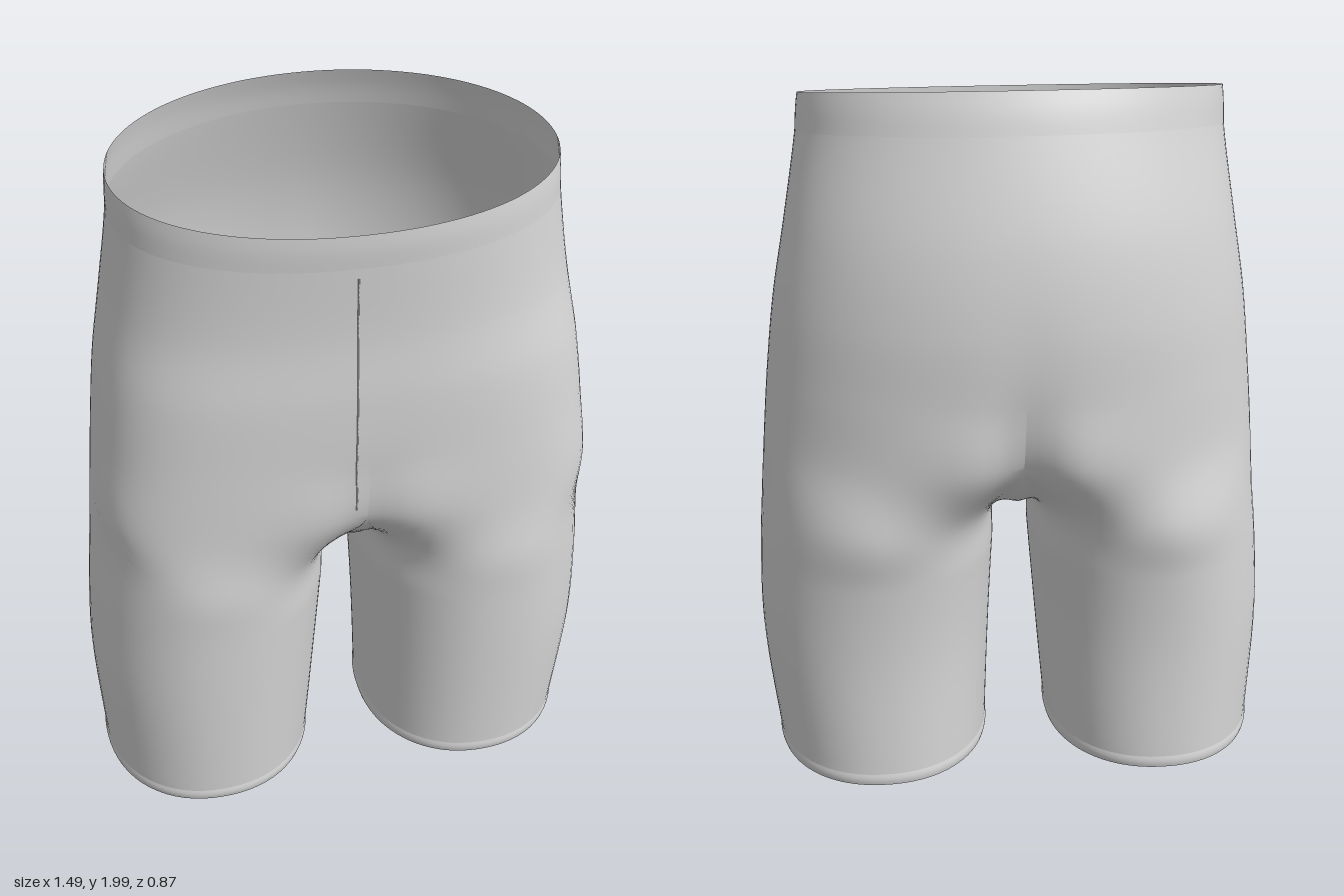
import * as THREE from 'three';
import { mergeVertices } from 'three/addons/utils/BufferGeometryUtils.js';

const OUTER = 56, INNER = 24;          // columns round the outside and the inner thigh of one half
const SPLIT = 145;                     // angle on the leg where outside meets inner thigh
const CROTCH = 4, SEAM = 8, TOP = 9;   // key ring numbers

// Leg rings: y, inner x, outer x, front z, back z, squareness of the outer back
const legs = [
  [0.01, 0.097, 0.722, 0.375, -0.345, 2.15],
  [0.4, 0.072, 0.747, 0.395, -0.345, 2.1],
  [0.65, 0.055, 0.737, 0.405, -0.365, 1.98],
  [0.8, 0.045, 0.724, 0.41, -0.388, 1.85],
];
// Hip rings: y, half width, front z, back z, centre z, front and back squareness, front and back dip, tilt
const hips = [
  [1.0, 0.705, 0.415, -0.43, 0.02, 3.5, 2.2, 0.03, 0.065, 0],
  [1.2, 0.685, 0.42, -0.435, 0.02, 3.2, 2.15, 0.004, 0.015, 0],
  [1.4, 0.66, 0.425, -0.438, 0.02, 2.9, 2.1, 0, 0.004, 0],
  [1.6, 0.625, 0.422, -0.412, 0.04, 2.5, 2.1, 0, 0, 0.04],
  [1.84, 0.588, 0.434, -0.34, 0.08, 2.2, 2, 0, 0, 0.13],
  [1.94, 0.58, 0.44, -0.305, 0.09, 2.1, 2, 0, 0, 0.155],
];

// Point on a rounded oval, by angle
function oval(a, rx, rFront, rBack, n) {
  const c = Math.cos(a), s = Math.sin(a);
  const r = Math.pow(Math.abs(c) ** n + Math.abs(s) ** n, -1 / n);
  return [rx * r * c, (s > 0 ? rFront : rBack) * r * s];
}

function legPoint([y, xi, xo, zf, zb, nb], a) {
  const cz = 0.02;
  const outerBack = Math.sin(a) < 0 && Math.cos(a) > 0;
  const [x, z] = oval(a, (xo - xi) / 2, zf - cz, cz - zb, outerBack ? nb : 2.15);
  return new THREE.Vector3((xo + xi) / 2 + x, y, cz + z);
}

function hipPoint([y, rx, zf, zb, cz, nf, nb, df, db, tilt], a) {
  let [x, z] = oval(a, rx, zf - cz, cz - zb, a > 0 ? nf : nb);
  const valley = Math.exp(-((x / 0.09) ** 2));
  z += cz + (a > 0 ? -df : db) * valley;
  return new THREE.Vector3(Math.abs(x) < 1e-6 ? 0 : x, y + tilt * (cz - z), z);
}

// One smooth upright curve per column of the left half
const columns = [];
for (let j = 0; j <= OUTER + INNER; j++) {
  const outer = j <= OUTER;
  const deg = outer
    ? SPLIT - (2 * SPLIT * j) / OUTER
    : -SPLIT - ((360 - 2 * SPLIT) * (j - OUTER)) / INNER;
  const a = THREE.MathUtils.degToRad(deg);
  const pts = legs.map((ring) => legPoint(ring, a));
  if (outer) {
    const h = Math.PI / 2 - (Math.PI * j) / OUTER;
    hips.forEach((ring) => pts.push(hipPoint(ring, h)));
  } else {
    // inner thigh columns end on the saddle curve between the legs
    const s = Math.sin(a) / Math.sin(THREE.MathUtils.degToRad(SPLIT));
    const end = columns[s > 0 ? 0 : OUTER].points[CROTCH];
    pts.push(new THREE.Vector3(0, 0.81 + (end.y - 0.81) * Math.abs(s) ** 3.5, end.z * Math.abs(s)));
  }
  columns.push(new THREE.CatmullRomCurve3(pts));
}
columns[OUTER + INNER] = columns[0];

function sample(j, t) {
  const curve = columns[j];
  return curve.getPoint(Math.min(1, t / (curve.points.length - 1)));
}

// Slight sideways lean of the cloth
const lean = (p) => { p.x -= 0.017 * (p.y - 1) ** 2; return p; };

// Patches are [first column, last column, start ring, end ring, rows]; both halves are built
function cloth(patches, bulge = 0, cx = 0, cz = 0) {
  const pos = [], idx = [];
  for (const side of [1, -1]) {
    for (const [j0, j1, t0, t1, rows] of patches) {
      const base = pos.length / 3, w = j1 - j0 + 1;
      for (let i = 0; i <= rows; i++) {
        for (let j = j0; j <= j1; j++) {
          const p = sample(j, t0 + ((t1 - t0) * i) / rows);
          if (bulge) {
            const out = new THREE.Vector3(p.x - cx, 0, p.z - cz).normalize();
            p.addScaledVector(out, bulge * Math.sin((Math.PI * i) / rows));
          }
          p.x *= side;
          lean(p);
          pos.push(p.x, p.y, p.z);
        }
      }
      for (let i = 0; i < rows; i++) {
        for (let j = 0; j < w - 1; j++) {
          const a = base + i * w + j, b = a + 1, c = b + w, d = a + w;
          if (side > 0) idx.push(a, b, c, a, c, d);
          else idx.push(a, c, b, a, d, c);
        }
      }
    }
  }
  let geo = new THREE.BufferGeometry();
  geo.setAttribute('position', new THREE.Float32BufferAttribute(pos, 3));
  geo.setIndex(idx);
  geo = mergeVertices(geo, 1e-4);
  geo.computeVertexNormals();
  return geo;
}

export function createModel() {
  const group = new THREE.Group();
  const fabric = new THREE.MeshStandardMaterial({ color: 0xd6d6d6, side: THREE.DoubleSide });
  fabric.name = 'light grey fabric';
  const add = (name, geo) => {
    const mesh = new THREE.Mesh(geo, fabric);
    mesh.name = name;
    group.add(mesh);
  };

  const all = OUTER + INNER, hem = 0.09;
  // Legs and seat in one smooth skin
  add('shortsBody', cloth([
    [0, all, hem, CROTCH, 40],
    [0, OUTER, CROTCH, SEAM, 40],
  ]));
  // Waistband above its seam
  add('waistband', cloth([[0, OUTER, SEAM, TOP, 8]], 0.002, 0, 0.05));
  // Rolled leg hems
  add('legHems', cloth([[0, all, 0, hem, 6]], 0.003, 0.4, 0.02));

  // Fine stitched line down the front, right of centre
  const stitch = [];
  for (let i = 0; i <= 16; i++) {
    const p = sample(1, 4.25 + (SEAM - 0.15 - 4.25) * (i / 16));
    p.x *= -1;
    stitch.push(lean(p));
  }
  add('frontSeam', new THREE.TubeGeometry(new THREE.CatmullRomCurve3(stitch), 48, 0.002, 6));
  return group;
}
